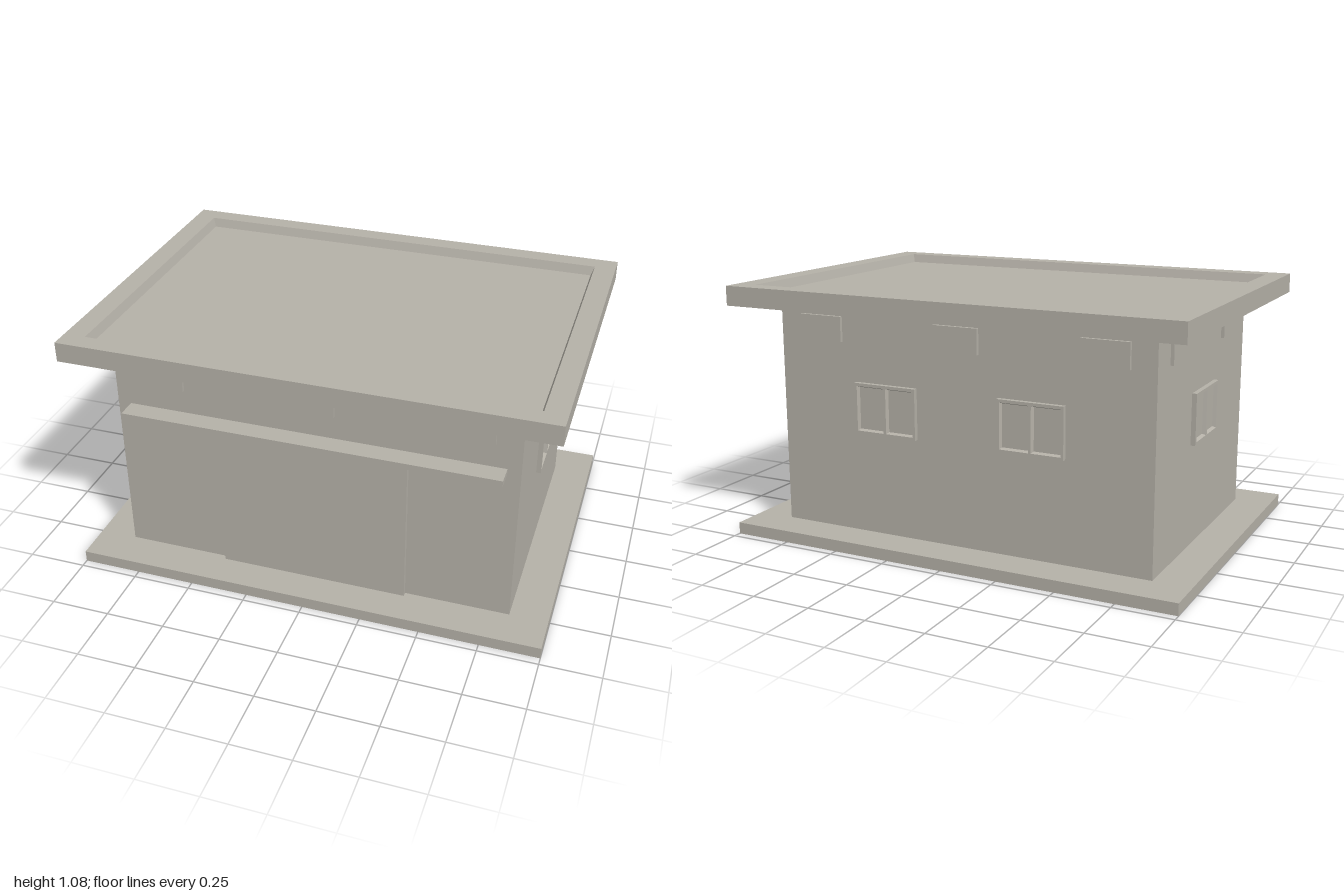
import * as THREE from 'three';

const concrete = new THREE.MeshStandardMaterial({ color: 0xb5b1a8 });
concrete.name = 'concrete grey';

// Wall half sizes
const WX = 0.84, WZ = 0.555;

function box(parent, name, w, h, d, x, y, z) {
  const mesh = new THREE.Mesh(new THREE.BoxGeometry(w, h, d), concrete);
  mesh.name = name;
  mesh.position.set(x, y, z);
  parent.add(mesh);
  return mesh;
}

// Frame in the xy plane with rectangular holes that narrow towards the back
function frameGeometry(w, h, depth, holes, taper) {
  const rect = (path, cx, cy, rw, rh) => path
    .moveTo(cx - rw / 2, cy - rh / 2).lineTo(cx + rw / 2, cy - rh / 2)
    .lineTo(cx + rw / 2, cy + rh / 2).lineTo(cx - rw / 2, cy + rh / 2).closePath();
  const shape = rect(new THREE.Shape(), 0, 0, w, h);
  for (const [cx, cy, rw, rh] of holes) shape.holes.push(rect(new THREE.Path(), cx, cy, rw, rh));
  const geo = new THREE.ExtrudeGeometry(shape, { depth, bevelEnabled: false });
  const p = geo.attributes.position;
  for (let i = 0; i < p.count; i++) {
    const x = p.getX(i), y = p.getY(i);
    if (p.getZ(i) > depth / 2 || Math.abs(x) > w / 2 - 1e-5) continue;
    const hole = holes.find(([cx, , rw]) => Math.abs(x - cx) < rw / 2 + 1e-4);
    p.setXY(i, x - Math.sign(x - hole[0]) * taper, y - Math.sign(y - hole[1]) * taper);
  }
  geo.computeVertexNormals();
  return geo;
}

// Two-pane window standing out from a wall, facing local +z
function makeWindow() {
  const g = new THREE.Group();
  g.name = 'window';
  box(g, 'windowPanes', 0.288, 0.215, 0.005, 0, 0, 0.0025);
  const holes = [-1, 1].map(s => [s * 0.069, 0, 0.126, 0.19]);
  const frame = new THREE.Mesh(frameGeometry(0.288, 0.215, 0.015, holes, 0.006), concrete);
  frame.name = 'windowFrame';
  frame.position.z = 0.005;
  g.add(frame);
  return g;
}

// One side of the building, with local +z pointing out of the wall
function makeSide(name, distance, angle, ventXs, windowXs) {
  const side = new THREE.Group();
  side.name = name;
  for (const x of ventXs) box(side, 'vent', 0.198, 0.106, 0.014, x, 0.912, distance + 0.007);
  for (const x of windowXs) {
    const win = makeWindow();
    win.position.set(x, 0.588, distance);
    side.add(win);
  }
  side.rotation.y = angle;
  return side;
}

export function createModel() {
  const model = new THREE.Group();
  model.name = 'building';

  // Base and walls
  box(model, 'baseSlab', 2, 0.05, 1.43, 0, 0.025, 0);
  box(model, 'walls', WX * 2, 0.95, WZ * 2, 0, 0.525, 0);

  // Roof slab with a raised rim sloping in to the sunken top
  box(model, 'roofSlab', 2, 0.045, 1.43, 0, 1.0225, 0);
  const rimGeo = frameGeometry(2, 1.43, 0.038, [[0, 0, 1.82, 1.27]], 0.013);
  rimGeo.rotateX(-Math.PI / 2);
  const rim = new THREE.Mesh(rimGeo, concrete);
  rim.name = 'roofRim';
  rim.position.y = 1.045;
  model.add(rim);

  // Wide front door and the canopy over it
  box(model, 'door', 0.8, 0.68, 0.02, 0, 0.39, WZ + 0.01);
  box(model, 'canopy', 1.57, 0.025, 0.085, 0, 0.7425, WZ + 0.0425);

  // Vents and windows on each side
  const longVents = [-0.637, 0, 0.637], shortVents = [-0.32, 0.32];
  model.add(
    makeSide('frontSide', WZ, 0, longVents, []),
    makeSide('backSide', WZ, Math.PI, longVents, [-0.33, 0.33]),
    makeSide('leftSide', WX, Math.PI / 2, shortVents, [0]),
    makeSide('rightSide', WX, -Math.PI / 2, shortVents, [0]),
  );
  return model;
}
